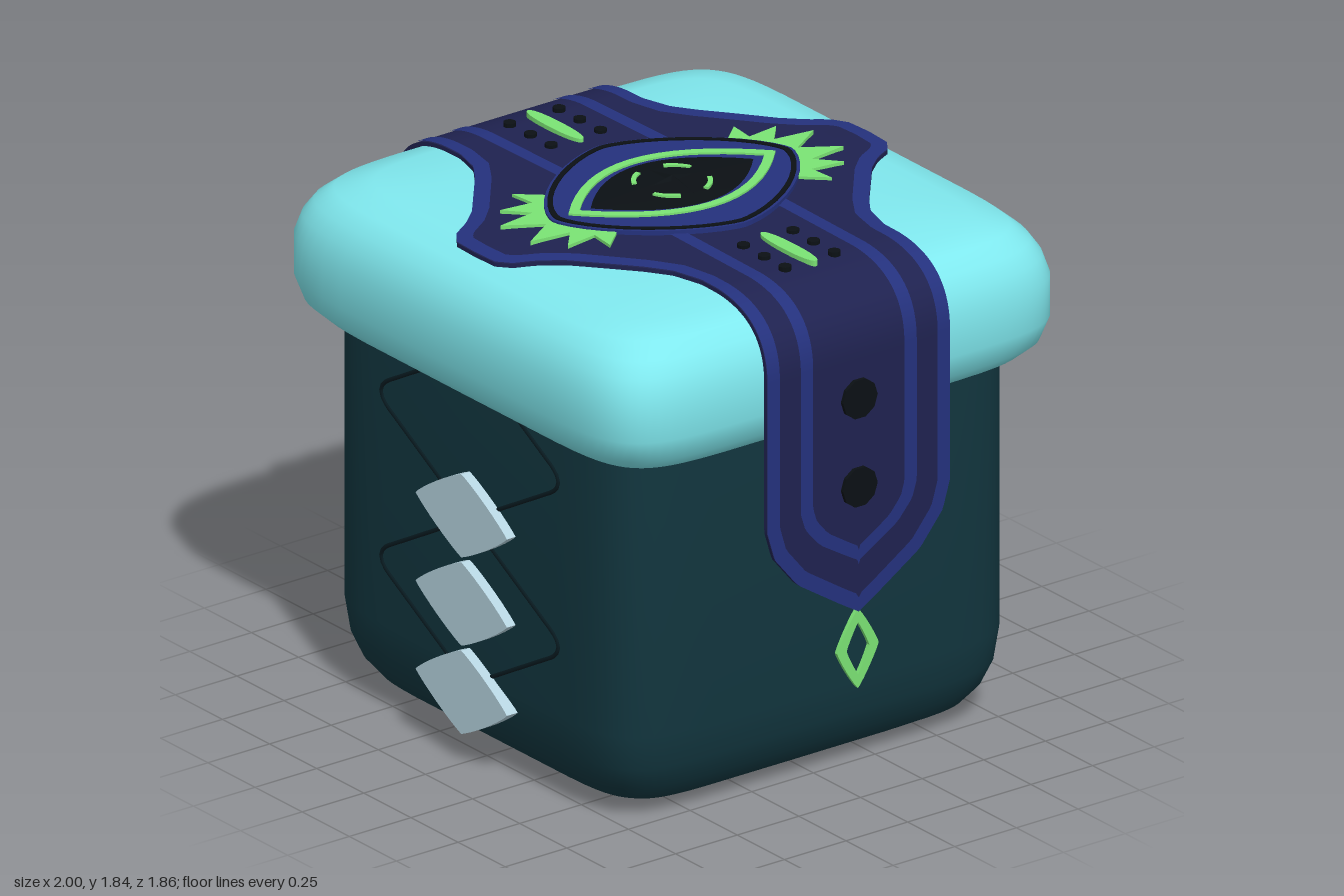
import * as THREE from 'three';
import { toCreasedNormals } from 'three/addons/utils/BufferGeometryUtils.js';

const BODY = 0x12363f, LID = 0x80e9ef, SASH = 0x1f2250, TRIM = 0x24317d;
const GREEN = 0x7be374, BLACK = 0x0b1014, PALE = 0xb5d3df, LACE = 0x081a20;
const V = (x, y, z) => new THREE.Vector3(x, y, z);

function part(parent, name, geometry, color) {
  const mesh = new THREE.Mesh(geometry, new THREE.MeshStandardMaterial({ color }));
  mesh.name = name;
  parent.add(mesh);
  return mesh;
}

// Skin over rows of points; the front faces (row direction) x (column direction)
function grid(rows, crease = 0.6) {
  const n = rows[0].length, index = [];
  for (let i = 0; i < rows.length - 1; i++)
    for (let j = 0; j < n - 1; j++) {
      const a = i * n + j, b = a + 1, c = a + n, d = c + 1;
      index.push(a, c, b, b, c, d);
    }
  const g = new THREE.BufferGeometry().setFromPoints(rows.flat());
  g.setIndex(index);
  return toCreasedNormals(g, crease);
}

// Superellipse outline: n = 1 diamond, 2 ellipse, 8 rounded rectangle
function outline(a, b, n = 2, count = 48) {
  const f = (v) => (Math.abs(v) < 1e-9 ? 0 : Math.sign(v) * Math.abs(v) ** (2 / n));
  return Array.from({ length: count }, (_, i) => {
    const t = (i / count) * Math.PI * 2;
    return new THREE.Vector2(a * f(Math.cos(t)), b * f(Math.sin(t)));
  });
}

// Pointed eye outline
function lens(a, b) {
  const s = new THREE.Shape().moveTo(0, -b);
  s.quadraticCurveTo(2 * a, 0, 0, b).quadraticCurveTo(-2 * a, 0, 0, -b);
  return s.getPoints(16).slice(0, -1);
}

// Solid plate from an outline with an optional hole
function plate(points, depth, hole) {
  const s = new THREE.Shape(points);
  if (hole) s.holes.push(new THREE.Path(hole));
  return new THREE.ExtrudeGeometry(s, { depth, bevelEnabled: false });
}
const lay = (g, x, y, z) => g.rotateX(-Math.PI / 2).translate(x, y, z);

// Rounded block from [inset, y] levels
function block(a, b, levels, n) {
  return grid(levels.map(([inset, y]) => {
    const ring = outline(Math.max(a - inset, 0), Math.max(b - inset, 0), n, 64);
    return [...ring, ring[0]].map((p) => V(p.x, y, p.y));
  }), 0.7);
}

// Piecewise linear lookup
function lookup(table, x) {
  for (let i = 1; i < table.length; i++)
    if (x <= table[i][0]) {
      const [x0, y0] = table[i - 1], [x1, y1] = table[i];
      return y0 + ((y1 - y0) * (x - x0)) / (x1 - x0);
    }
  return table[table.length - 1][1];
}

// Path of the sash from the middle of the lid over its side to the hanging tip
function sashPath() {
  const path = new THREE.CurvePath(), p = (x, y) => new THREE.Vector2(x, y);
  path.add(new THREE.LineCurve(p(0, 1.785), p(0.72, 1.775)));
  path.add(new THREE.QuadraticBezierCurve(p(0.72, 1.775), p(0.97, 1.76), p(0.973, 1.55)));
  path.add(new THREE.LineCurve(p(0.973, 1.55), p(0.973, 0.65)));
  const N = 120, half = [];
  for (let i = 0; i <= N; i++) {
    const q = path.getPointAt(i / N), t = path.getTangentAt(i / N);
    half.push({ x: q.x, y: q.y, nx: i ? -t.y : 0, ny: t.x });
  }
  const left = half.slice(1).reverse().map((q) => ({ ...q, x: -q.x, nx: -q.nx }));
  return [...left, ...half];
}

// Half width of a line on the sash: a table across the top, a rounded point below
const TIP = [[0, 0], [0.1, 0.2], [0.35, 0.67], [0.6, 0.92], [0.82, 1], [1, 1]];
const widthLine = (w, tip, table) => (q) =>
  q.y > 1.3 ? (table ? lookup(table, Math.abs(q.x)) : w)
    : w * lookup(TIP, Math.max(0, (q.y - tip) / (1.1 - tip)));

function buildSash(root) {
  const sash = new THREE.Group();
  sash.name = 'sash';
  root.add(sash);
  const path = sashPath();
  const edge = widthLine(0.37, 0.65, [[0, 0.8], [0.1, 0.795], [0.15, 0.76], [0.19, 0.69],
    [0.25, 0.62], [0.45, 0.455], [0.53, 0.4], [0.64, 0.37]]);
  const edgeIn = widthLine(0.32, 0.71, [[0, 0.745], [0.09, 0.74], [0.12, 0.71], [0.16, 0.64],
    [0.23, 0.565], [0.42, 0.41], [0.52, 0.345], [0.64, 0.32]]);
  const stripeOut = widthLine(0.235, 0.83), stripeIn = widthLine(0.185, 0.88);
  const at = (q, z, h) => V(q.x + q.nx * h, q.y + q.ny * h - 0.02 * (Math.abs(z) / 0.8) ** 4 * q.ny, z);
  const span = (q, z0, z1, h) => [0, 1, 2, 3, 4, 5, 6, 7, 8].map((k) => at(q, z0 + ((z1 - z0) * k) / 8, h));

  part(sash, 'sashCloth', grid(path.map((q) => {
    const w = edge(q), top = span(q, w, -w, 0.014);
    return [...top, ...span(q, -w, w, 0), top[0]];
  })), SASH);
  for (const [name, lo, hi] of [['sashBorder', edgeIn, edge], ['sashStripe', stripeIn, stripeOut]]) {
    part(sash, name, grid(path.map((q) => span(q, hi(q), lo(q), 0.018))), TRIM);
    part(sash, name, grid(path.map((q) => span(q, -lo(q), -hi(q), 0.018))), TRIM);
  }

  // Slim inlays and studs on the top
  for (const s of [-1, 1]) {
    part(sash, 'inlay', lay(plate(outline(0.145, 0.026, 2.3), 0.02), s * 0.62, 1.785, 0), GREEN);
    for (const x of [0.51, 0.62, 0.73]) for (const z of [-0.1, 0.1])
      part(sash, 'stud', lay(plate(outline(0.021, 0.021, 2, 12), 0.02), s * x, 1.783, z), BLACK);
  }

  // Round studs and hanging charm on each side
  for (const s of [-1, 1]) {
    const side = new THREE.Group();
    side.name = 'sideTrim';
    side.rotation.y = (s * Math.PI) / 2;
    sash.add(side);
    for (const y of [1.4, 1.09])
      part(side, 'sideStud', plate(outline(0.07, 0.07, 2, 10), 0.02).translate(0, y, 0.98), BLACK);
    part(side, 'charm', plate(outline(0.084, 0.14, 1.12), 0.014, outline(0.046, 0.09, 1.1))
      .translate(0, 0.52, 0.973), GREEN);
  }
}

function buildEmblem(root) {
  const emblem = new THREE.Group();
  emblem.name = 'emblem';
  root.add(emblem);
  const flat = (name, points, top, color, hole) =>
    part(emblem, name, lay(plate(points, top - 1.785, hole), 0, 1.785, 0), color);

  // Sun rays at both ends
  const rays = [[0, 0.51], [0.08, 0.635], [0.1, 0.49], [0.18, 0.56], [0.165, 0.44], [0.26, 0.45], [0.19, 0.37]];
  for (const s of [-1, 1]) {
    const right = rays.map(([x, y]) => new THREE.Vector2(x, s * y));
    const left = rays.slice(1).reverse().map(([x, y]) => new THREE.Vector2(-x, s * y));
    flat('rays', [...right, ...left], 1.804, GREEN);
  }

  // Medallion plate with inlaid rings
  flat('medallion', outline(0.39, 0.485, 1.5), 1.81, TRIM);
  flat('medallionRing', outline(0.38, 0.472, 1.5), 1.814, BLACK, outline(0.362, 0.452, 1.5));
  flat('eyeRing', lens(0.23, 0.42), 1.817, GREEN, lens(0.2, 0.375));

  // Faceted pupil and four-pointed star
  const peak = (name, points, y0, y1) => part(emblem, name, grid([
    [...points, points[0]].map((p) => V(p.x, y0, p.y)),
    [...points, points[0]].map(() => V(0, y1, 0))], 0.2), BLACK);
  peak('pupil', lens(0.185, 0.33), 1.811, 1.83);
  peak('star', Array.from({ length: 8 }, (_, i) => {
    const r = i % 2 ? 0.035 : 0.12, t = (i * Math.PI) / 4;
    return new THREE.Vector2(r * Math.cos(t), r * Math.sin(t));
  }), 1.818, 1.842);

  // Short arcs around the star
  for (let i = 0; i < 4; i++) {
    const mid = Math.PI / 4 + (i * Math.PI) / 2;
    const arc = new THREE.Shape().absarc(0, 0, 0.132, mid - 0.36, mid + 0.36, false);
    arc.absarc(0, 0, 0.116, mid + 0.36, mid - 0.36, true);
    flat('arc', arc.getPoints(6), 1.826, GREEN);
  }
}

// Diamonds and crossing laces for one face
function buildFace(root, turn) {
  const face = new THREE.Group();
  face.name = turn ? 'backLacing' : 'frontLacing';
  face.rotation.y = turn;
  root.add(face);
  for (const y of [0.25, 0.56, 0.87])
    part(face, 'diamond', plate(outline(0.242, 0.146, 1.12), 0.045).translate(0, y, 0.81), PALE);
  for (const y of [0.56, 1.14]) for (const s of [-1, 1]) {
    const lace = new THREE.CurvePath(), p = (x, dy) => V(s * x, y + dy, 0.819);
    lace.add(new THREE.LineCurve3(p(0, -0.29), p(0.41, -0.06)));
    lace.add(new THREE.QuadraticBezierCurve3(p(0.41, -0.06), p(0.53, 0), p(0.41, 0.06)));
    lace.add(new THREE.LineCurve3(p(0.41, 0.06), p(0, 0.29)));
    part(face, 'lace', new THREE.TubeGeometry(lace, 48, 0.008, 6), LACE);
  }
}

export function createModel() {
  const root = new THREE.Group();
  root.name = 'lidded box';
  part(root, 'body', block(0.82, 0.82, [[0.82, 0], [0.25, 0.002], [0.16, 0.02], [0.09, 0.06], [0.045, 0.12],
    [0.015, 0.2], [0, 0.32], [0, 1.36], [0.82, 1.36]], 8), BODY);
  part(root, 'lid', block(0.97, 0.93, [[0.97, 1.29], [0.12, 1.29], [0.07, 1.305], [0.025, 1.35], [0, 1.43],
    [0, 1.57], [0.02, 1.64], [0.05, 1.69], [0.1, 1.735], [0.2, 1.76], [0.4, 1.775], [0.97, 1.78]], 8), LID);
  buildSash(root);
  buildEmblem(root);
  buildFace(root, 0);
  buildFace(root, Math.PI);
  return root;
}
